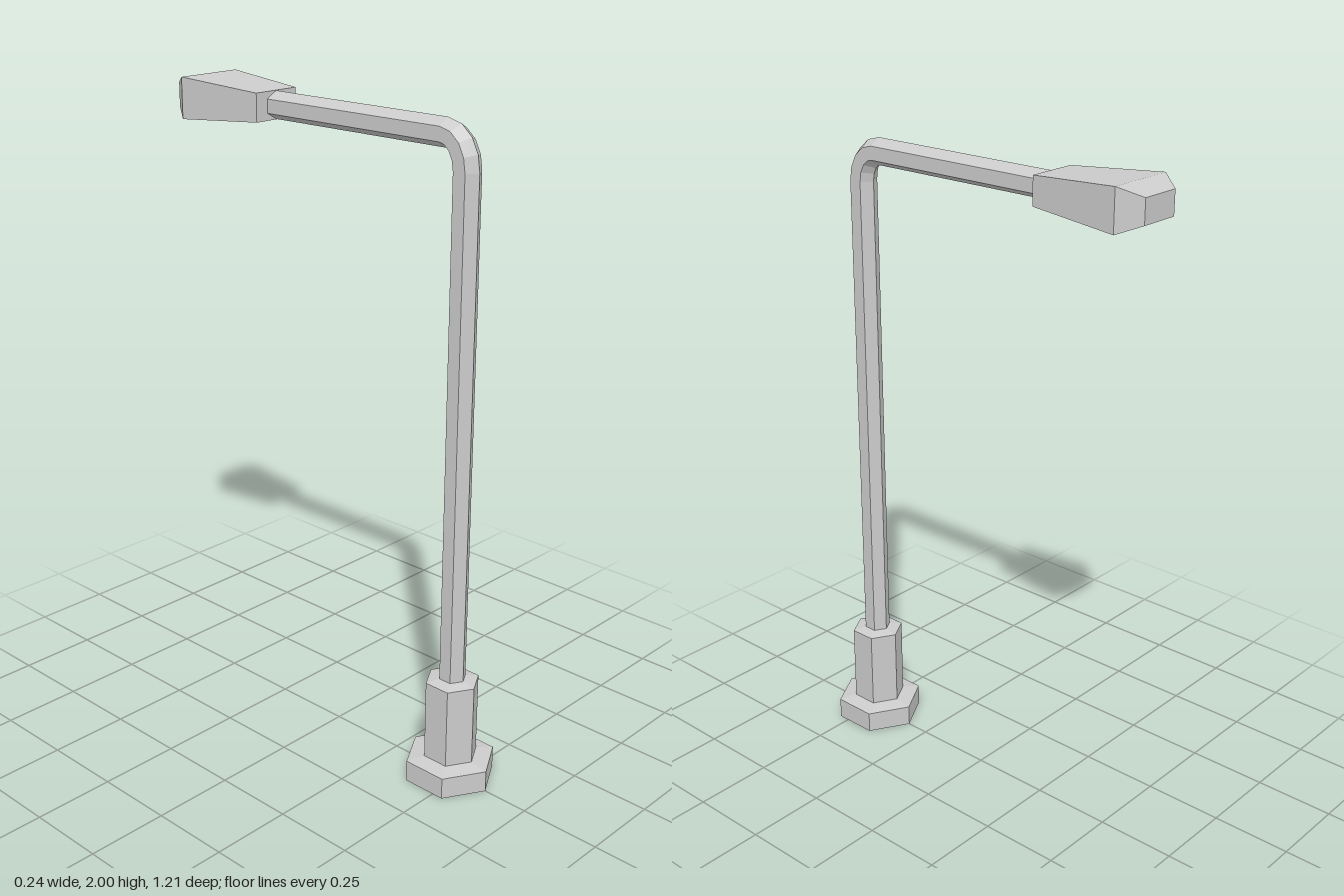
import * as THREE from 'three';

const POLE_Z = 0.465;
const material = new THREE.MeshStandardMaterial({ color: 0xcccccc, flatShading: true });

function addPart(group, name, geometry) {
  const faceted = geometry.index ? geometry.toNonIndexed() : geometry;
  faceted.computeVertexNormals();
  const mesh = new THREE.Mesh(faceted, material);
  mesh.name = name;
  group.add(mesh);
  return mesh;
}

// Closed skin through rings of points, each ring counter-clockwise about the travel direction
function loft(rings) {
  const positions = [];
  const tri = (...corners) => corners.forEach((p) => positions.push(p.x, p.y, p.z));
  const first = rings[0];
  const last = rings[rings.length - 1];
  const n = first.length;
  for (let r = 0; r < rings.length - 1; r++) {
    const a = rings[r];
    const b = rings[r + 1];
    for (let i = 0; i < n; i++) {
      const j = (i + 1) % n;
      tri(a[i], a[j], b[j]);
      tri(a[i], b[j], b[i]);
    }
  }
  for (let i = 1; i < n - 1; i++) {
    tri(first[0], first[i + 1], first[i]);
    tri(last[0], last[i], last[i + 1]);
  }
  const geometry = new THREE.BufferGeometry();
  geometry.setAttribute('position', new THREE.Float32BufferAttribute(positions, 3));
  return geometry;
}

// Hexagonal solid of revolution from [radius, height] pairs
function hexLathe(profile) {
  return new THREE.LatheGeometry(profile.map(([r, y]) => new THREE.Vector2(r, y)), 6);
}

// Hexagon across the pole; the angle tips it from upright (0) to the arm direction (PI / 2)
function poleRing(y, z, angle) {
  const radius = 0.041;
  return Array.from({ length: 6 }, (_, i) => {
    const a = (i * Math.PI) / 3;
    const out = radius * Math.cos(a);
    return new THREE.Vector3(
      radius * Math.sin(a),
      y + out * Math.sin(angle),
      z + out * Math.cos(angle)
    );
  });
}

// Rectangle across the lamp head
function headRing(z, halfWidth, halfHeight) {
  return [[1, 1], [1, -1], [-1, -1], [-1, 1]].map(
    ([sx, sy]) => new THREE.Vector3(sx * halfWidth, 1.938 + sy * halfHeight, z)
  );
}

export function createModel() {
  const group = new THREE.Group();
  group.name = 'streetLamp';

  // Foot plate and sleeve, each with a slightly sloped top
  const foot = hexLathe([[0, 0], [0.139, 0], [0.139, 0.067], [0.083, 0.076], [0, 0.076]]);
  addPart(group, 'footPlate', foot).position.z = POLE_Z;
  const sleeve = hexLathe([[0, 0.06], [0.083, 0.06], [0.083, 0.326], [0.041, 0.334], [0, 0.334]]);
  addPart(group, 'sleeve', sleeve).position.z = POLE_Z;

  // Pole, bend and arm as one hexagonal tube
  const rings = [poleRing(0.3, POLE_Z, 0)];
  const depth = 0.07;
  const rise = 0.093;
  const steps = 4;
  for (let i = 0; i <= steps; i++) {
    const t = (i / steps) * (Math.PI / 2);
    const tilt = Math.atan2(Math.sin(t) * depth, Math.cos(t) * rise);
    rings.push(poleRing(1.845 + rise * Math.sin(t), POLE_Z - depth + depth * Math.cos(t), tilt));
  }
  rings.push(poleRing(1.938, -0.28, Math.PI / 2));
  addPart(group, 'poleAndArm', loft(rings));

  // Lamp head widening outward, then tapering to its tip
  addPart(group, 'lampHead', loft([
    headRing(-0.252, 0.079, 0.042),
    headRing(-0.542, 0.108, 0.062),
    headRing(-0.605, 0.064, 0.036),
  ]));

  return group;
}
